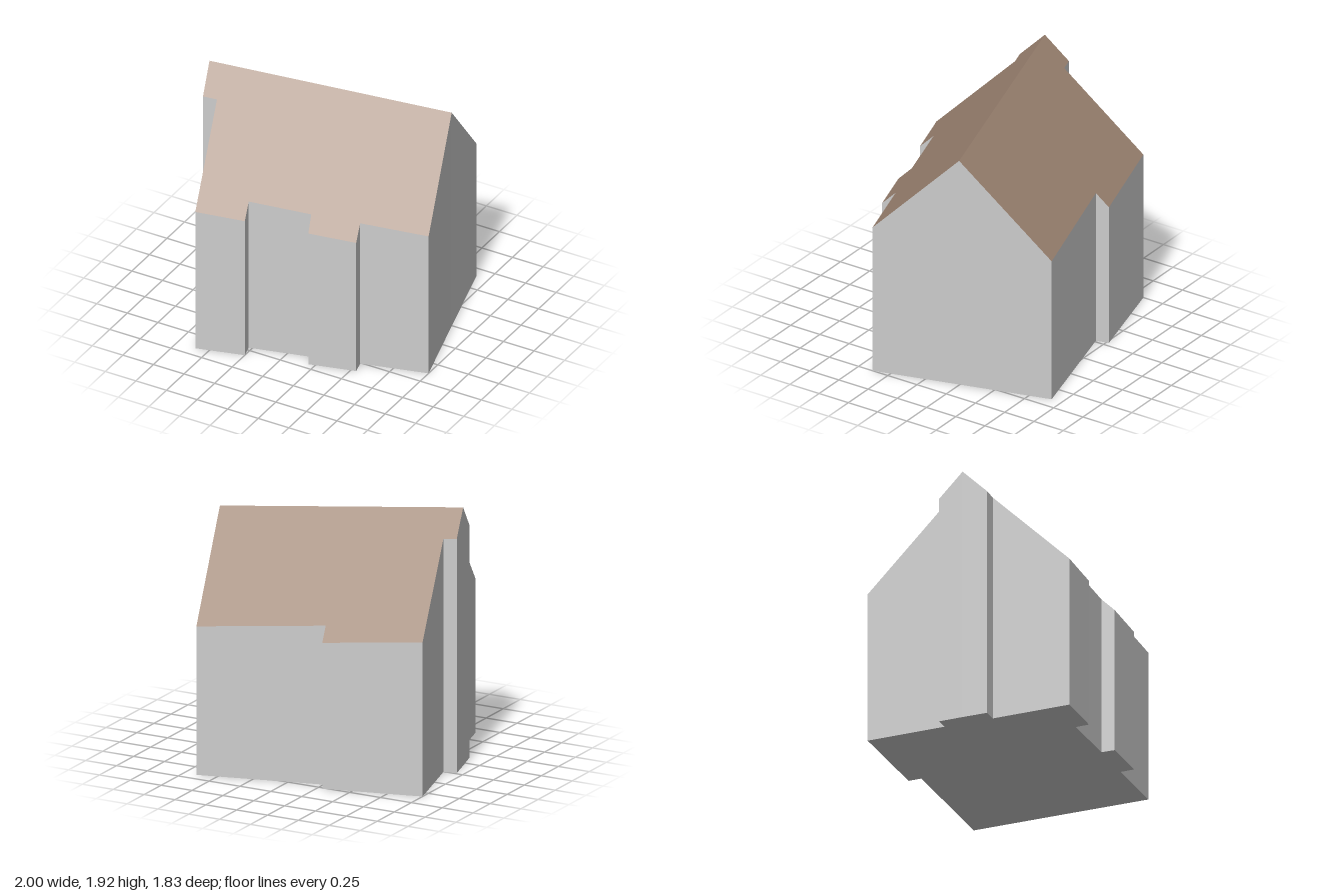
import * as THREE from 'three';

// Footprint as [x, z]; each half runs from one ridge end to the other
const ridgeRight = [0.83, -0.245];
const ridgeLeft = [-0.9, 0.19];
const frontEdge = [
  [1, 0.38], [0.515, 0.51], [0.54, 0.61], [0.2, 0.7], [0.17, 0.605],
  [-0.275, 0.72], [-0.25, 0.82], [-0.6, 0.915], [-0.75, 0.345], [-0.85, 0.37],
];
const backEdge = [
  [-0.945, 0.015], [-0.85, -0.01], [-1, -0.585],
  [-0.29, -0.77], [-0.265, -0.675], [0.65, -0.915],
];

// Roof height: the ridge sinks to the right, and both slopes fall away from it
const dx = ridgeRight[0] - ridgeLeft[0];
const dz = ridgeRight[1] - ridgeLeft[1];
const ridgeLength = Math.hypot(dx, dz);
function roofHeight(x, z) {
  const px = x - ridgeLeft[0], pz = z - ridgeLeft[1];
  const along = (px * dx + pz * dz) / ridgeLength;
  const across = (pz * dx - px * dz) / ridgeLength;
  return 1.92 - (0.13 * along) / ridgeLength - 0.99 * Math.abs(across);
}

// One roof slope: a flat outline lifted onto the roof plane
function slopeGeometry(points) {
  const shape = new THREE.Shape(points.map(([x, z]) => new THREE.Vector2(x, -z)));
  const geometry = new THREE.ShapeGeometry(shape).rotateX(-Math.PI / 2).toNonIndexed();
  const p = geometry.attributes.position;
  for (let i = 0; i < p.count; i++) p.setY(i, roofHeight(p.getX(i), p.getZ(i)));
  geometry.computeVertexNormals();
  return geometry;
}

// Vertical walls from the ground up to the roof line
function wallGeometry(points) {
  const positions = [];
  points.forEach(([ax, az], i) => {
    const [bx, bz] = points[(i + 1) % points.length];
    const a0 = [ax, 0, az], a1 = [ax, roofHeight(ax, az), az];
    const b0 = [bx, 0, bz], b1 = [bx, roofHeight(bx, bz), bz];
    positions.push(...b0, ...a0, ...a1, ...b0, ...a1, ...b1);
  });
  const geometry = new THREE.BufferGeometry();
  geometry.setAttribute('position', new THREE.Float32BufferAttribute(positions, 3));
  geometry.computeVertexNormals();
  return geometry;
}

export function createModel() {
  const wallMaterial = new THREE.MeshStandardMaterial({ color: 0xcccccc });
  wallMaterial.name = 'wallGrey';
  const roofMaterial = new THREE.MeshStandardMaterial({ color: 0x9c8371 });
  roofMaterial.name = 'roofBrown';

  const model = new THREE.Group();
  model.name = 'house';
  const add = (name, geometry, material) => {
    const mesh = new THREE.Mesh(geometry, material);
    mesh.name = name;
    model.add(mesh);
  };

  const outline = [ridgeRight, ...frontEdge, ridgeLeft, ...backEdge];
  add('walls', wallGeometry(outline), wallMaterial);
  add('frontRoof', slopeGeometry([ridgeRight, ...frontEdge, ridgeLeft]), roofMaterial);
  add('backRoof', slopeGeometry([ridgeLeft, ...backEdge, ridgeRight]), roofMaterial);

  // Underside closing the building at ground level
  const baseShape = new THREE.Shape(outline.map(([x, z]) => new THREE.Vector2(x, z)));
  add('base', new THREE.ShapeGeometry(baseShape).rotateX(Math.PI / 2), wallMaterial);
  return model;
}
